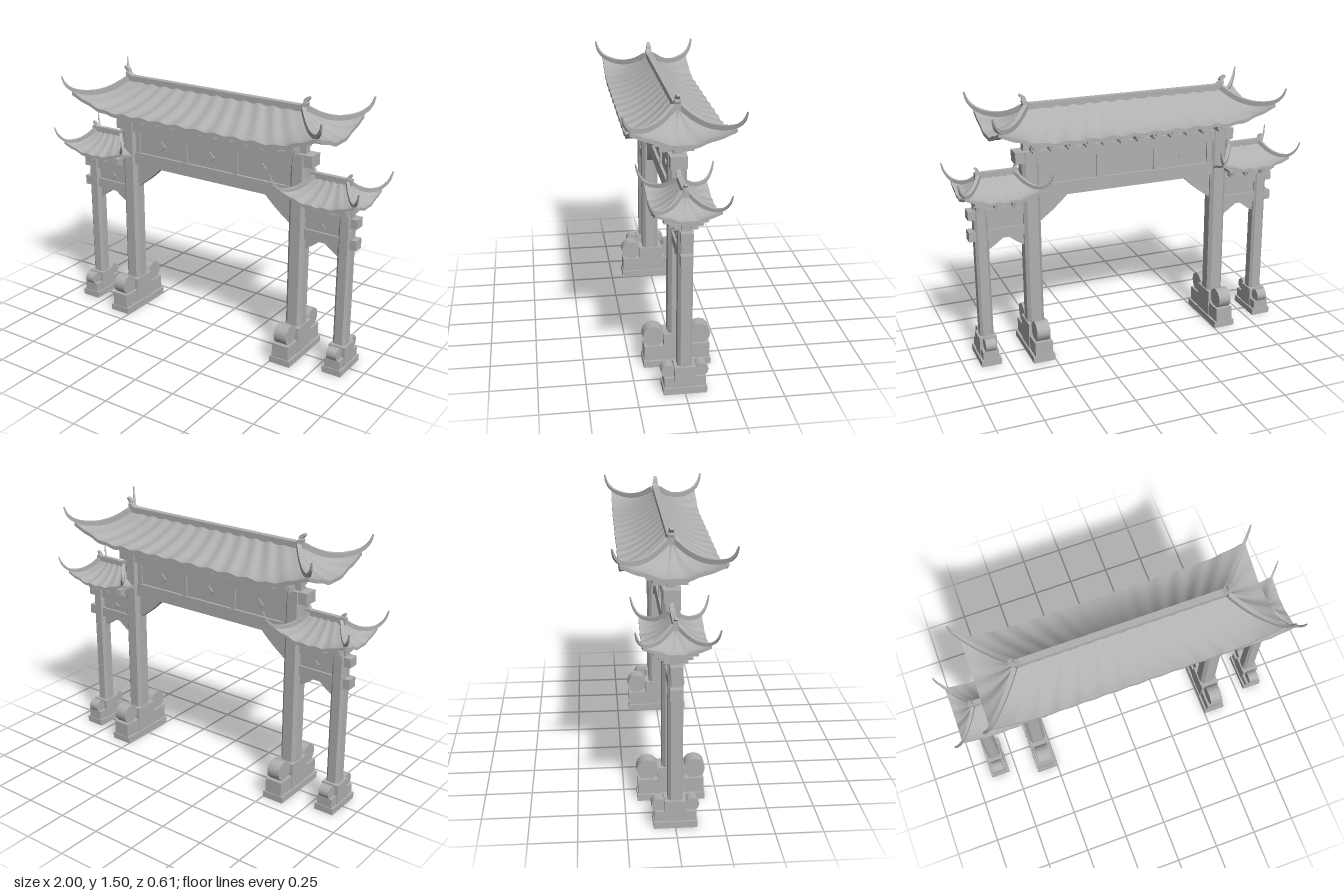
import * as THREE from 'three';
import { toCreasedNormals } from 'three/addons/utils/BufferGeometryUtils.js';

const stone = new THREE.MeshStandardMaterial({ color: 0xb0b0b0, side: THREE.DoubleSide });
stone.name = 'grey stone';

function add(parent, name, geometry, x = 0, y = 0, z = 0) {
  const mesh = new THREE.Mesh(geometry, stone);
  mesh.name = name;
  mesh.position.set(x, y, z);
  parent.add(mesh);
  return mesh;
}

// Box given by its centre in x and z and its bottom and top heights
function block(parent, name, x, z, w, d, y0, y1) {
  return add(parent, name, new THREE.BoxGeometry(w, y1 - y0, d), x, (y0 + y1) / 2, z);
}

function group(parent, name) {
  const g = new THREE.Group();
  g.name = name;
  parent.add(g);
  return g;
}

// Square pillar with chamfered corners
function pillar(parent, name, x, h, y1) {
  const c = h * 0.62;
  const shape = new THREE.Shape([[h, -c], [h, c], [c, h], [-c, h], [-h, c], [-h, -c], [-c, -h], [c, -h]]
    .map(([a, b]) => new THREE.Vector2(a, b)));
  const geo = new THREE.ExtrudeGeometry(shape, { depth: y1, bevelEnabled: false });
  add(parent, name, geo.rotateX(-Math.PI / 2), x);
}

// Tapered rectangular bar swept along a curve in a vertical plane
function sweep(points, w, h, taper) {
  const curve = new THREE.CatmullRomCurve3(points);
  const n = 20, pos = [], idx = [], up = new THREE.Vector3(0, 1, 0);
  for (let i = 0; i <= n; i++) {
    const p = curve.getPoint(i / n), t = curve.getTangent(i / n);
    const side = new THREE.Vector3().crossVectors(up, t).normalize();
    const nor = new THREE.Vector3().crossVectors(t, side);
    const k = 1 - taper * Math.pow(i / n, 2);
    for (const [a, b] of [[-1, -1], [1, -1], [1, 1], [-1, 1]]) {
      const q = p.clone().addScaledVector(side, a * w * k / 2).addScaledVector(nor, b * h * k / 2);
      pos.push(q.x, q.y, q.z);
    }
    if (i < n) for (let j = 0; j < 4; j++) {
      const a = i * 4 + j, b = i * 4 + (j + 1) % 4;
      idx.push(a, b, a + 4, b, b + 4, a + 4);
    }
  }
  const e = n * 4;
  idx.push(0, 2, 1, 0, 3, 2, e, e + 1, e + 2, e, e + 2, e + 3);
  const geo = new THREE.BufferGeometry();
  geo.setAttribute('position', new THREE.Float32BufferAttribute(pos, 3));
  geo.setIndex(idx);
  return toCreasedNormals(geo, 0.7);
}

// Hipped tile roof with lifted corners, rippled slopes and a thin rim
function roofShell(o) {
  const pos = [], idx = [], rows = 10;
  for (let k = 0; k < 4; k++) {
    const even = k % 2 === 0, half = even ? o.hx : o.hz;
    const waves = Math.round(2 * half / o.pitch), cols = Math.max(24, waves * 8);
    const start = pos.length / 3, layer = (rows + 1) * (cols + 1);
    for (let l = 0; l < 2; l++) for (let j = 0; j <= rows; j++) for (let i = 0; i <= cols; i++) {
      const s = j / rows, u = i / cols * 2 - 1;
      const run = o.ridge + (o.hx - o.ridge) * s;
      const a = u * (even ? run : o.hz * s), out = even ? o.hz * s : run;
      const L = Math.pow(Math.max(0, 1 - (1 - Math.abs(u)) * half / o.range), 1.4);
      const y = o.eave + (o.top - o.eave) * Math.pow(1 - s, 1.8) + o.lift * L * s * s
        + o.ripple * (1 - L) * Math.cos(waves * Math.PI * (u + 1)) - l * o.thick;
      const [x, z] = [[a, out], [out, -a], [-a, -out], [-out, a]][k];
      pos.push(x, y, z);
    }
    const at = (l, j, i) => start + l * layer + j * (cols + 1) + i;
    for (let i = 0; i < cols; i++) {
      for (let j = 0; j < rows; j++) {
        const [a, b, c, d] = [at(0, j, i), at(0, j + 1, i), at(0, j + 1, i + 1), at(0, j, i + 1)];
        idx.push(a, b, d, b, c, d, a + layer, d + layer, b + layer, b + layer, d + layer, c + layer);
      }
      const p = at(0, rows, i), q = at(1, rows, i);
      idx.push(p, q, p + 1, q, q + 1, p + 1);
    }
  }
  const geo = new THREE.BufferGeometry();
  geo.setAttribute('position', new THREE.Float32BufferAttribute(pos, 3));
  geo.setIndex(idx);
  return toCreasedNormals(geo, 0.6);
}

function roof(parent, name, x, o) {
  const g = group(parent, name);
  g.position.x = x;
  add(g, 'tileSlopes', roofShell(o));
  block(g, 'topRidge', 0, 0, 2 * o.ridge + 0.06, o.bar * 1.5, o.top - 0.02, o.top + 0.015);
  for (const sx of [-1, 1]) {
    // Upturned ornament on the ridge end
    const r = o.ridge, t = o.top, f = o.finial;
    add(g, 'ridgeFinial', sweep([[r - 0.01, t], [r + 0.3 * f, t + 0.35 * f], [r + 0.35 * f, t + 0.7 * f], [r + 0.7 * f, t + f]]
      .map(([a, b]) => new THREE.Vector3(sx * a, b, 0)), o.bar * 1.4, o.bar * 1.1, 0.5));
    // Hip ridges that curl up beyond the eave corners
    for (const sz of [-1, 1]) {
      const pts = [0.06, 0.3, 0.55, 0.8, 1].map(s => new THREE.Vector3(
        sx * (r + (o.hx - r) * s),
        o.eave + (t - o.eave) * Math.pow(1 - s, 1.8) + o.lift * s * s + o.bar * 0.55,
        sz * o.hz * s));
      const c = pts[4];
      pts.push(new THREE.Vector3(c.x + sx * 0.027, c.y + o.curl * 0.45, c.z + sz * 0.027));
      pts.push(new THREE.Vector3(c.x + sx * 0.039, c.y + o.curl, c.z + sz * 0.039));
      add(g, 'hipRidge', sweep(pts, o.bar, o.bar * 1.2, 0.75));
    }
  }
}

// Rows of stepped bracket sets below a roof plate
function brackets(parent, xs, x0, x1, y0, y1, depths, w) {
  const g = group(parent, 'bracketSets'), mid = (x0 + x1) / 2, len = x1 - x0;
  const step = (y1 - y0) / 3;
  block(g, 'bracketWall', mid, 0, len - 0.02, 0.045, y0, y1);
  block(g, 'eavePlate', mid, 0, len, depths[2] * 2, y1 - step * 0.45, y1 + 0.008);
  for (const x of xs) depths.forEach((d, i) => {
    block(g, 'bracketArm', x, 0, w * (0.5 + 0.1 * i), d * 2, y0 + i * step, y0 + (i + 0.6) * step);
    for (const s of [-1, 1]) {
      block(g, 'bracketCap', x, s * (d - 0.016), w * (0.75 + 0.15 * i), 0.032, y0 + (i + 0.4) * step, y0 + (i + 1) * step);
    }
  });
}

// Curved corner bracket below a beam
function spandrel(parent, x, y, w, h, dir, depth) {
  const s = new THREE.Shape();
  s.moveTo(0, 0);
  s.lineTo(dir * w, 0);
  s.quadraticCurveTo(dir * w * 0.75, -h * 0.3, dir * w * 0.45, -h * 0.6);
  s.quadraticCurveTo(dir * w * 0.2, -h * 0.82, 0, -h);
  s.closePath();
  add(parent, 'cornerBracket', new THREE.ExtrudeGeometry(s, { depth, bevelEnabled: false }), x, y, -depth / 2);
}

// Thin diamonds on both faces of a panel
function diamonds(parent, x, y, z, size) {
  for (const s of [-1, 1]) {
    add(parent, 'panelDiamond', new THREE.BoxGeometry(size, size, 0.009), x, y, s * z).rotation.z = Math.PI / 4;
  }
}

// Plinth with a drum stone in front of and behind the pillar
function base(parent, x, b) {
  const g = group(parent, 'pillarBase');
  block(g, 'plinth', x, 0, b.w + 0.016, b.z * 2 + 0.01, 0, 0.037);
  block(g, 'pillarFoot', x, 0, b.w, b.foot * 2, 0.037, b.footTop);
  for (const s of [-1, 1]) {
    block(g, 'drumSeat', x, s * (b.z + 0.04) / 2, b.w * 0.92, b.z - 0.04, 0.037, b.seat);
    const drum = new THREE.CylinderGeometry(b.r, b.r, b.drumW, 12).rotateZ(Math.PI / 2);
    add(g, 'drumStone', drum, x, b.drumY, s * b.drumZ);
  }
}

export function createModel() {
  const model = new THREE.Group();
  model.name = 'memorialGateway';

  // Main span
  const centre = group(model, 'mainSpan');
  block(centre, 'lowerBeam', 0, 0, 1.06, 0.075, 0.925, 1.0);
  block(centre, 'recessedPanel', 0, 0, 1.06, 0.045, 1.0, 1.13);
  block(centre, 'upperBeam', 0, 0, 1.3, 0.088, 1.13, 1.195);
  for (const x of [-0.505, -0.17, 0.17, 0.505]) block(centre, 'panelDivider', x, 0, 0.03, 0.065, 1.0, 1.13);
  for (const x of [-0.34, 0, 0.34]) diamonds(centre, x, 1.065, 0.025, 0.045);
  brackets(centre, Array.from({ length: 12 }, (_, i) => -0.55 + i * 0.1), -0.61, 0.61, 1.195, 1.285,
    [0.09, 0.125, 0.155], 0.065);
  roof(centre, 'mainRoof', 0, { hx: 0.79, hz: 0.26, ridge: 0.56, eave: 1.295, top: 1.435, lift: 0.08,
    range: 0.26, pitch: 0.12, ripple: 0.005, thick: 0.02, bar: 0.024, curl: 0.078, finial: 0.062 });

  // Pillars and lower side spans
  for (const s of [-1, 1]) {
    const side = group(model, s > 0 ? 'leftSide' : 'rightSide');
    pillar(side, 'mainPillar', s * 0.565, 0.048, 1.195);
    pillar(side, 'outerPillar', s * 0.85, 0.038, 0.9);
    base(side, s * 0.565, { w: 0.11, z: 0.176, foot: 0.072, footTop: 0.19, seat: 0.12,
      r: 0.058, drumW: 0.076, drumY: 0.172, drumZ: 0.125 });
    base(side, s * 0.852, { w: 0.098, z: 0.108, foot: 0.055, footTop: 0.15, seat: 0.09,
      r: 0.037, drumW: 0.06, drumY: 0.12, drumZ: 0.086 });
    spandrel(side, s * 0.52, 0.925, 0.17, 0.145, -s, 0.04);
    block(side, 'sideUpperBeam', s * 0.75, 0, 0.34, 0.062, 0.845, 0.897);
    block(side, 'sideLowerBeam', s * 0.75, 0, 0.34, 0.062, 0.722, 0.778);
    block(side, 'sidePanel', s * 0.71, 0, 0.22, 0.038, 0.778, 0.845);
    diamonds(side, s * 0.71, 0.811, 0.021, 0.03);
    spandrel(side, s * 0.613, 0.722, 0.09, 0.065, s, 0.03);
    spandrel(side, s * 0.812, 0.722, 0.09, 0.065, -s, 0.03);
    const xs = [0.655, 0.755, 0.855].map(x => s * x);
    brackets(side, xs, s > 0 ? 0.6 : -0.895, s > 0 ? 0.895 : -0.6, 0.897, 0.953, [0.06, 0.085, 0.11], 0.065);
    roof(side, 'sideRoof', s * 0.745, { hx: 0.215, hz: 0.163, ridge: 0.09, eave: 0.975, top: 1.085, lift: 0.045,
      range: 0.16, pitch: 0.085, ripple: 0.004, thick: 0.014, bar: 0.018, curl: 0.082, finial: 0.04 });
  }
  return model;
}
